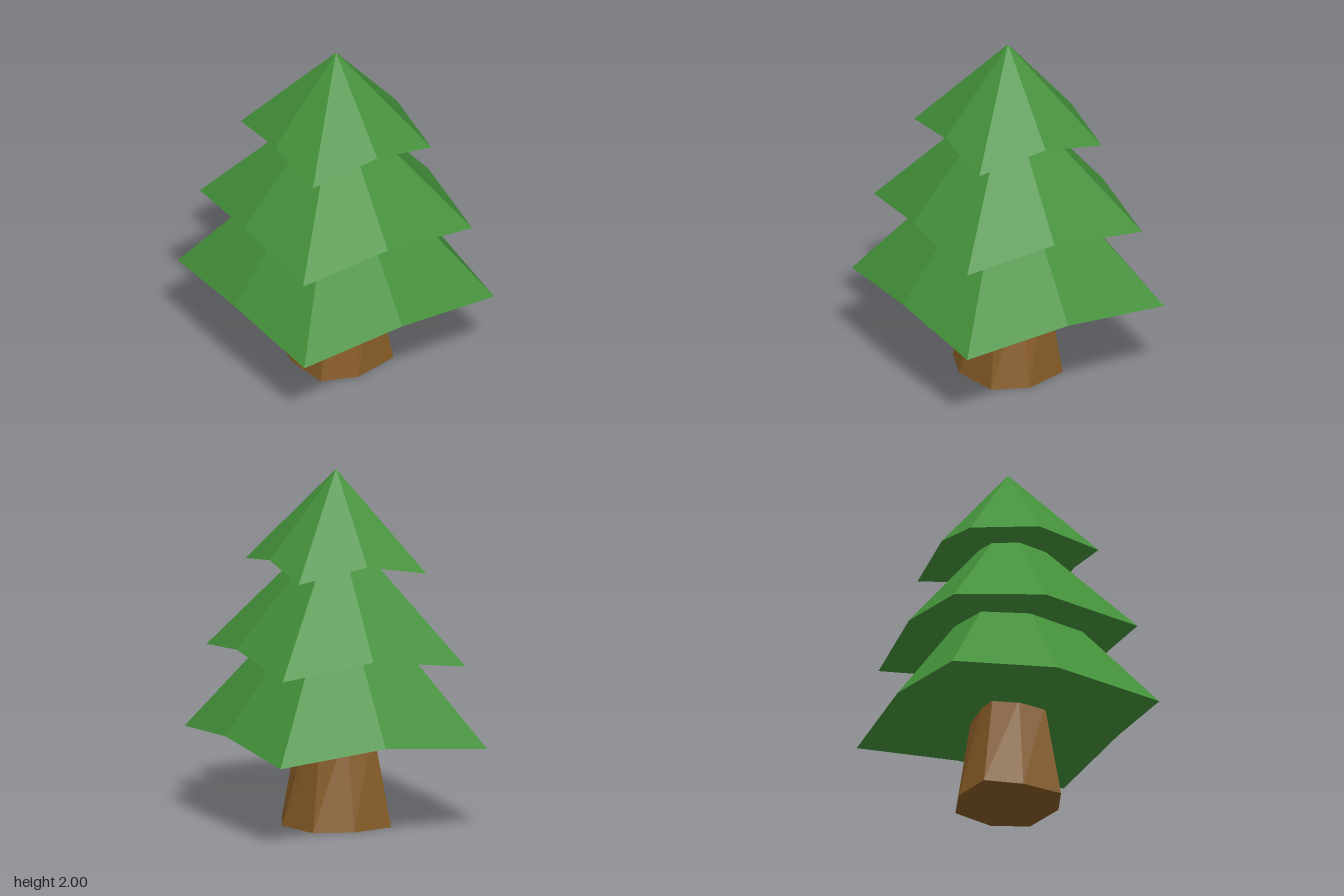
import * as THREE from 'three';

const leafGreen = new THREE.MeshStandardMaterial({ color: 0x43903a });
const barkBrown = new THREE.MeshStandardMaterial({ color: 0x845a26 });
leafGreen.name = 'leafGreen';
barkBrown.name = 'barkBrown';

// Unshared triangles give each facet its own flat normal
function facetMesh(name, triangles, material) {
  const geometry = new THREE.BufferGeometry().setFromPoints(triangles);
  geometry.computeVertexNormals();
  const mesh = new THREE.Mesh(geometry, material);
  mesh.name = name;
  return mesh;
}

// Four-sided skirt: raised side midpoints, drooping corners, slight twist
function createTier({ name, corner, mid, cornerY, midY, apexY }) {
  const ring = [];
  for (let i = 0; i < 4; i++) {
    for (const [x, y, z] of [[mid[0], midY, mid[1]], [corner[0], cornerY, corner[1]]]) {
      ring.push(new THREE.Vector3(x, y, z).applyAxisAngle(new THREE.Vector3(0, 1, 0), i * Math.PI / 2));
    }
  }
  const apex = new THREE.Vector3(0, apexY, 0);
  const under = new THREE.Vector3(0, midY, 0);
  const triangles = [];
  ring.forEach((p, i) => {
    const q = ring[(i + 1) % ring.length];
    triangles.push(apex, p, q, under, q, p);
  });
  return facetMesh(name, triangles, leafGreen);
}

// Tapered, slightly irregular eight-sided trunk
function createTrunk() {
  const base = [[-0.03, 0.29], [0.23, 0.23], [0.31, 0.03], [0.23, -0.22],
    [0.01, -0.29], [-0.23, -0.24], [-0.27, -0.02], [-0.235, 0.22]];
  const top = [[0, 0.16], [0.155, 0.155], [0.165, 0], [0.155, -0.155],
    [0, -0.16], [-0.155, -0.155], [-0.16, 0], [-0.155, 0.155]];
  const low = base.map(([x, z]) => new THREE.Vector3(x, 0, z));
  const high = top.map(([x, z]) => new THREE.Vector3(x, 0.56, z));
  const foot = new THREE.Vector3(0, 0, 0);
  const triangles = [];
  low.forEach((p, i) => {
    const j = (i + 1) % low.length;
    triangles.push(p, low[j], high[j], p, high[j], high[i], foot, low[j], p);
  });
  return facetMesh('trunk', triangles, barkBrown);
}

export function createModel() {
  const tree = new THREE.Group();
  tree.name = 'pineTree';
  tree.add(createTrunk());
  const tiers = [
    { name: 'lowerBranches', corner: [0.655, 0.605], mid: [0.02, 0.67], cornerY: 0.48, midY: 0.545, apexY: 1.46 },
    { name: 'middleBranches', corner: [0.548, 0.548], mid: [-0.02, 0.585], cornerY: 0.945, midY: 1.02, apexY: 1.72 },
    { name: 'topBranches', corner: [0.383, 0.383], mid: [0.02, 0.405], cornerY: 1.45, midY: 1.52, apexY: 2 },
  ];
  for (const tier of tiers) tree.add(createTier(tier));
  return tree;
}
